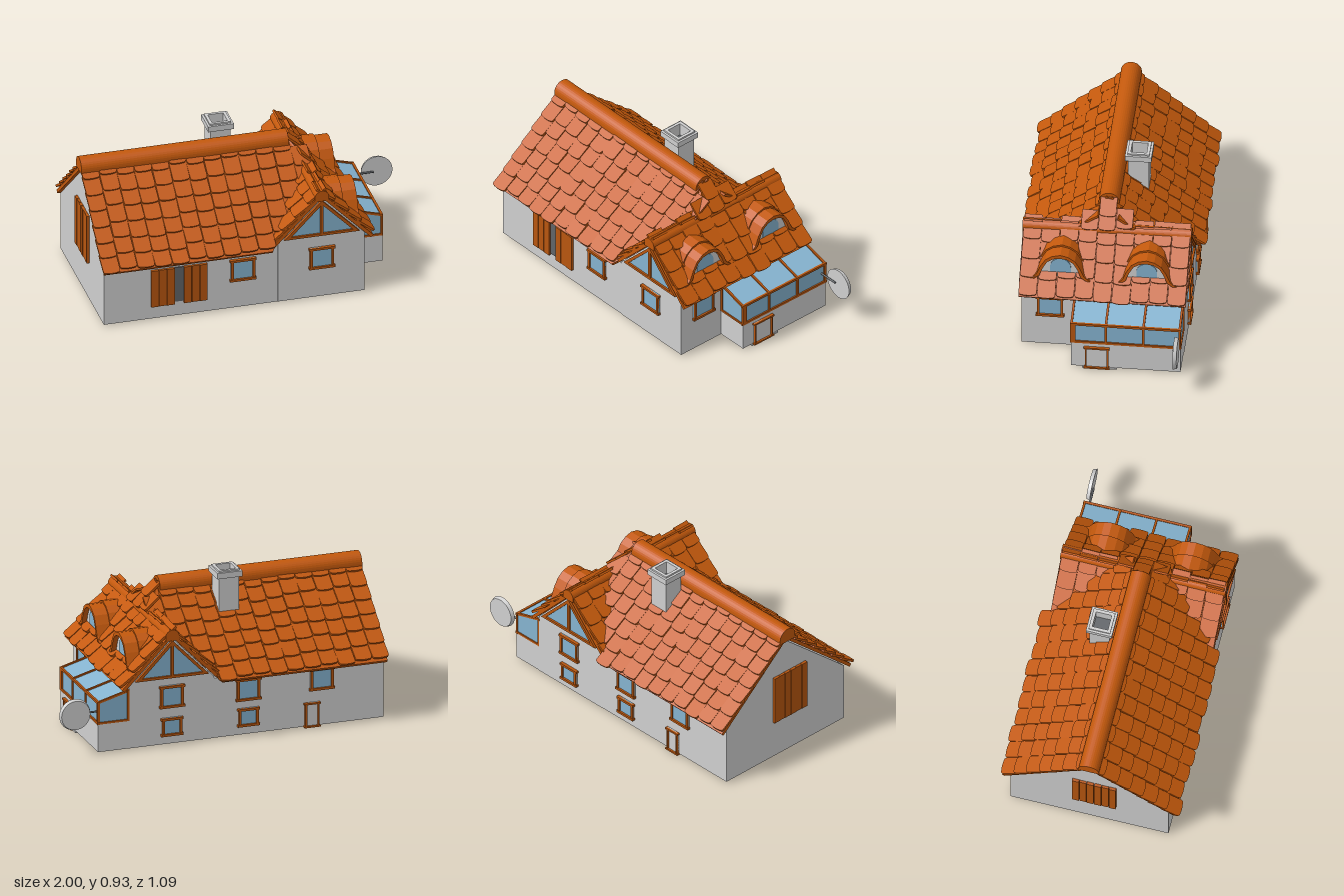
import * as THREE from 'three';

const mat = (name, color, side = THREE.FrontSide) => {
  const m = new THREE.MeshStandardMaterial({ color, side });
  m.name = name;
  return m;
};

export function createModel() {
  const plaster = mat('plaster', 0xd0d0d0);
  const clay = mat('clay', 0xc4590c);
  const wood = mat('wood', 0xb8560f);
  const glass = mat('glass', 0x86b4d0);
  const dark = mat('dark', 0x606468);

  const house = new THREE.Group();
  house.name = 'house';

  let seed = 7;
  const rand = () => (seed = (seed * 16807) % 2147483647) / 2147483647 - 0.5;

  const add = (parent, name, geo, material, x = 0, y = 0, z = 0) => {
    const m = new THREE.Mesh(geo, material);
    m.name = name;
    m.position.set(x, y, z);
    parent.add(m);
    return m;
  };
  const box = (parent, name, material, w, h, d, x, y, z) =>
    add(parent, name, new THREE.BoxGeometry(w, h, d), material, x, y, z);
  const poly = pts => new THREE.Shape(pts.map(p => new THREE.Vector2(...p)));
  const extrude = (shape, depth) =>
    new THREE.ExtrudeGeometry(shape, { depth, bevelEnabled: false, curveSegments: 8 });
  const place = (name, x, y, z, yaw) => {
    const g = new THREE.Group();
    g.name = name;
    g.position.set(x, y, z);
    g.rotation.y = yaw;
    house.add(g);
    return g;
  };
  const RIGHT = Math.PI / 2, BACK = Math.PI, LEFT = -Math.PI / 2;

  // Walls: long main body, crossing wing, low annex
  add(house, 'mainWalls', extrude(poly([[-0.47, 0.01], [0.47, 0.01], [0.47, 0.375], [0, 0.78], [-0.47, 0.375]]), 1.22),
    plaster, -0.98, 0, 0).rotation.y = RIGHT;
  add(house, 'wingWalls', extrude(poly([[0.06, 0.01], [0.58, 0.01], [0.58, 0.39], [0.32, 0.66], [0.06, 0.39]]), 0.944),
    plaster, 0, 0, -0.472);
  box(house, 'annexWall', plaster, 0.2, 0.17, 0.635, 0.67, 0.095, -0.1525);
  box(house, 'doorStep', plaster, 0.09, 0.01, 0.2, 0.73, 0.005, 0);

  // Roof panels: local x runs along the ridge, y up the slope, z outwards
  const roofPanel = (name, x, y, z, yaw, pitch, outline) => {
    const g = place(name, x, y, z, yaw);
    g.rotation.order = 'YXZ';
    g.rotation.x = pitch - Math.PI / 2;
    add(g, 'roofBoards', extrude(poly(outline), 0.02), clay, 0, 0, -0.022);
    return g;
  };
  const tileGeometry = (w, h) => {
    const s = new THREE.Shape();
    s.moveTo(-w / 2, h);
    s.lineTo(-w / 2, h * 0.16);
    s.quadraticCurveTo(-w / 2, 0.004, -w * 0.36, 0.002);
    s.quadraticCurveTo(0, -0.005, w * 0.36, 0.002);
    s.quadraticCurveTo(w / 2, 0.004, w / 2, h * 0.16);
    s.lineTo(w / 2, h);
    return new THREE.ExtrudeGeometry(s, { depth: 0.013, bevelEnabled: false, curveSegments: 3 });
  };
  const layTiles = (panel, x0, x1, cols, length, rows, keep = () => true, sign = 1) => {
    const w = (x1 - x0) / cols, step = length / rows;
    const geo = tileGeometry(w * 0.97, step * 1.3);
    for (let c = 0; c < cols; c++) {
      const shift = rand() * 0.025;
      for (let r = 0; r < rows; r++) {
        const x = x0 + (c + 0.5) * w, s = (r + 1) * step;
        if (!keep(x, s - step / 2)) continue;
        const t = add(panel, 'roofTile', geo, clay, sign * x, -s + shift + rand() * 0.012, 0.012 + rand() * 0.004);
        t.rotation.set(-0.14 + rand() * 0.05, 0, rand() * 0.04);
      }
    }
  };

  // Main roof, cut back along the hip and the valleys
  const L = 0.685, hipS = 0.198;
  const limit = s => s < hipS ? 0.24 + 0.1 * s / hipS : 0.34 - 0.32 * (s - hipS) / (L - hipS);
  for (const [sign, yaw] of [[1, 0], [-1, BACK]]) {
    const outline = [[-0.99, 0], [0.24, 0], [0.34, -hipS], [0.02, -L], [-0.99, -L]].map(([x, y]) => [sign * x, y]);
    const p = roofPanel('mainRoof', 0, 0.82, 0, yaw, 0.713, outline);
    layTiles(p, -1, 0.352, 13, L, 7, (x, s) => x < limit(s), sign);
  }
  const hip = roofPanel('hipEnd', 0.24, 0.825, 0, RIGHT, 0.85, [[0, 0], [-0.16, -0.18], [0.16, -0.18]]);
  layTiles(hip, -0.15, 0.15, 3, 0.18, 2, (x, s) => Math.abs(x) < s);

  // Wing roof
  const W = 0.445, wingPitch = 0.8;
  const rect = [[-0.485, 0], [0.485, 0], [0.485, -W], [-0.485, -W]];
  const wingRight = roofPanel('wingRoofRight', 0.32, 0.695, 0, RIGHT, wingPitch, rect);
  layTiles(wingRight, -0.485, 0.485, 9, W, 4);
  const wingLeft = roofPanel('wingRoofLeft', 0.32, 0.695, 0, LEFT, wingPitch, rect);
  layTiles(wingLeft, -0.485, 0.485, 9, W, 4, (x, s) => Math.abs(x) > 0.1 + 0.36 * s / W);

  // Ridge caps
  const cap = (name, r, length, x, y, z, alongX) => {
    const s = new THREE.Shape();
    s.absarc(0, 0, r, 0, Math.PI, false);
    s.lineTo(-r, -0.025);
    s.lineTo(r, -0.025);
    const m = add(house, name, extrude(s, length), clay, x, y, z);
    if (alongX) m.rotation.y = RIGHT;
  };
  cap('mainRidge', 0.06, 1.24, -1, 0.807, 0, true);
  cap('wingRidge', 0.042, 0.98, 0.32, 0.668, -0.49, false);

  // Eyelid dormers
  const half = [[0.15, 0.465], [0.12, 0.49], [0.1, 0.545], [0.075, 0.59], [0.04, 0.613], [0, 0.62]];
  const bell = (grow, pts = half) => {
    const side = pts.map(([x, y], i) => [x + grow * (1 - i / (pts.length - 1) * 0.9), y + grow * i / (pts.length - 1)]);
    return [...side, ...side.slice(0, -1).reverse().map(([x, y]) => [-x, y])];
  };
  for (const z of [-0.25, 0.25]) {
    const g = place('dormer', 0.33, 0, z, RIGHT);
    add(g, 'dormerWall', extrude(poly(bell(0)), 0.205), plaster);
    add(g, 'dormerHood', extrude(poly([...bell(0.024), ...bell(0).reverse()]), 0.235), clay);
    add(g, 'dormerHoodUpper', extrude(poly([...bell(0.036), ...bell(0.02).reverse()]), 0.15), clay);
    const pane = r => {
      const s = new THREE.Shape();
      s.moveTo(-r, 0);
      s.lineTo(r, 0);
      s.lineTo(r, 0.035);
      s.absarc(0, 0.035, r, 0, Math.PI, false);
      return s;
    };
    add(g, 'dormerPane', extrude(pane(0.06), 0.006), glass, 0, 0.505, 0.204);
  }

  // Framed rectangular windows
  const framed = (name, x, y, z, yaw, w, h, fill = glass, t = 0.014) => {
    const g = place(name, x, y, z, yaw);
    box(g, 'pane', fill, w, h, 0.008, 0, 0, 0.004);
    for (const s of [-1, 1]) {
      box(g, 'jamb', wood, t, h, 0.022, s * (w - t) / 2, 0, 0.006);
      box(g, 'rail', wood, w + 0.014, t, 0.026, 0, s * (h - t) / 2, 0.007);
    }
  };
  framed('frontWindow', -0.15, 0.257, 0.47, 0, 0.142, 0.14);
  framed('frontWindow', 0.322, 0.267, 0.472, 0, 0.142, 0.138);
  framed('sideWindow', 0.58, 0.288, 0.305, RIGHT, 0.15, 0.138);
  for (const [x, y, w, h] of [[-0.6, 0.295, 0.14, 0.135], [-0.15, 0.285, 0.14, 0.135], [-0.15, 0.115, 0.12, 0.11],
    [0.32, 0.3, 0.14, 0.135], [0.32, 0.115, 0.12, 0.11]])
    framed('backWindow', x, y, x > 0 ? -0.472 : -0.47, BACK, w, h);
  framed('backDoor', -0.54, 0.08, -0.47, BACK, 0.085, 0.15, plaster, 0.01);
  framed('annexDoor', 0.768, 0.08, 0.015, RIGHT, 0.136, 0.15, plaster, 0.01);

  // Triangular gable windows on both ends of the wing
  for (const [z, yaw] of [[0.472, 0], [-0.472, BACK]]) {
    const g = place('gableWindow', 0.32, 0, z, yaw);
    add(g, 'pane', extrude(poly([[-0.2, 0.42], [0.2, 0.42], [0, 0.63]]), 0.006), glass);
    const frame = poly([[-0.225, 0.415], [0.225, 0.415], [0, 0.645]]);
    frame.holes.push(new THREE.Path([[-0.185, 0.43], [0, 0.62], [0.185, 0.43]].map(p => new THREE.Vector2(...p))));
    add(g, 'frame', extrude(frame, 0.018), wood);
    box(g, 'mullion', wood, 0.016, 0.2, 0.018, 0, 0.52, 0.009);
  }

  // Plank shutters, front pair and closed gable pair
  const shutter = (parent, x, y, w, h) => {
    for (let i = 0; i < 3; i++)
      box(parent, 'shutterPlank', wood, w / 3 - 0.003, h, 0.018 - (i % 2) * 0.004, x + (i - 1) * w / 3, y, 0.008);
  };
  const front = place('frontShutters', 0, 0, 0.47, 0);
  box(front, 'opening', dark, 0.08, 0.225, 0.006, -0.532, 0.215, 0.003);
  shutter(front, -0.63, 0.21, 0.142, 0.238);
  shutter(front, -0.434, 0.21, 0.142, 0.238);
  const gable = place('gableShutters', -0.98, 0, 0.03, LEFT);
  shutter(gable, -0.066, 0.405, 0.13, 0.31);
  shutter(gable, 0.066, 0.405, 0.13, 0.31);

  // Glazed annex top with sloping roof
  add(house, 'annexGlass', extrude(poly([[0.57, 0.18], [0.765, 0.18], [0.765, 0.31], [0.57, 0.365]]), 0.63), glass, 0, 0, -0.467);
  const posts = [0.162, -0.037, -0.255, -0.465];
  posts.forEach((z, i) => {
    box(house, 'annexPost', wood, 0.014, 0.135, i ? 0.014 : 0.03, 0.767, 0.245, i ? z : z - 0.008);
    const rafter = box(house, 'annexRafter', wood, 0.2, 0.013, 0.013, 0.672, 0.338, z);
    rafter.rotation.z = -0.275;
  });
  for (const [x, y] of [[0.767, 0.184], [0.767, 0.31], [0.585, 0.363]])
    box(house, 'annexRail', wood, 0.014, 0.014, 0.645, x, y, -0.152);
  for (const z of [0.163, -0.467]) {
    box(house, 'annexEndSill', wood, 0.19, 0.012, 0.014, 0.675, 0.185, z);
    box(house, 'annexEndPost', wood, 0.012, 0.18, 0.014, 0.586, 0.27, z);
  }

  // Hollow chimney
  const ring = (outer, inner) => {
    const sq = r => [[-r, -r], [r, -r], [r, r], [-r, r]];
    const s = poly(sq(outer));
    s.holes.push(new THREE.Path(sq(inner).map(p => new THREE.Vector2(...p))));
    return s;
  };
  const chimney = place('chimney', -0.132, 0, -0.138, 0);
  add(chimney, 'shaft', extrude(ring(0.06, 0.046), 0.4), plaster, 0, 0.49, 0).rotation.x = -Math.PI / 2;
  add(chimney, 'cap', extrude(ring(0.077, 0.046), 0.035), plaster, 0, 0.88, 0).rotation.x = -Math.PI / 2;
  add(chimney, 'capTop', extrude(ring(0.064, 0.046), 0.01), plaster, 0, 0.915, 0).rotation.x = -Math.PI / 2;
  box(chimney, 'flue', dark, 0.092, 0.01, 0.092, 0, 0.84, 0);

  // Dish on an arm
  const dish = add(house, 'dish', new THREE.CylinderGeometry(0.095, 0.088, 0.022, 32), plaster, 0.905, 0.25, -0.458);
  dish.rotation.x = Math.PI / 2;
  const arm = add(house, 'dishArm', new THREE.CylinderGeometry(0.006, 0.006, 0.13, 8), dark, 0.82, 0.25, -0.442);
  arm.rotation.z = Math.PI / 2;

  return house;
}
